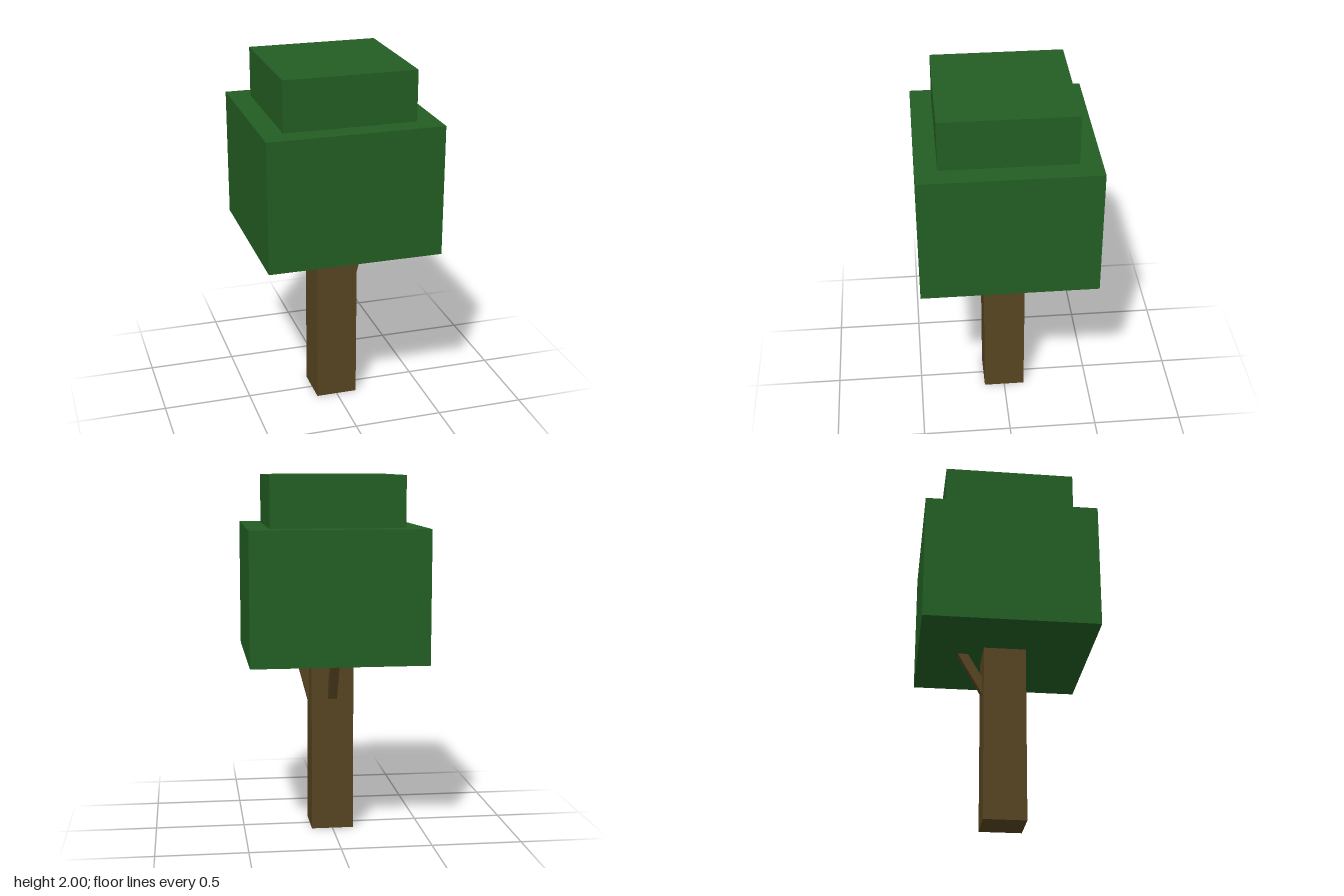
import * as THREE from 'three';

export function createModel() {
  const tree = new THREE.Group();
  tree.name = 'tree';
  const bark = new THREE.MeshStandardMaterial({ name: 'bark brown', color: 0x574522 });
  const leaves = new THREE.MeshStandardMaterial({ name: 'leaf green', color: 0x235e23 });

  // Square block standing between two heights
  function block(name, width, y0, y1, material) {
    const mesh = new THREE.Mesh(new THREE.BoxGeometry(width, y1 - y0, width), material);
    mesh.name = name;
    mesh.position.y = (y0 + y1) / 2;
    tree.add(mesh);
  }

  // Square bar running from one point to another
  function branch(name, width, from, to) {
    const a = new THREE.Vector3(...from);
    const b = new THREE.Vector3(...to);
    const mesh = new THREE.Mesh(new THREE.BoxGeometry(width, a.distanceTo(b), width), bark);
    mesh.name = name;
    mesh.position.copy(a).add(b).divideScalar(2);
    mesh.quaternion.setFromUnitVectors(new THREE.Vector3(0, 1, 0), b.sub(a).normalize());
    tree.add(mesh);
  }

  block('trunk', 0.236, 0, 1.0, bark);
  block('lowerCanopy', 0.966, 0.993, 1.72, leaves);
  block('upperCanopy', 0.73, 1.72, 2, leaves);

  // Branches start inside the trunk and end inside the canopy
  branch('leftBranch', 0.06, [0.077, 0.66, 0.042], [0.195, 1.1, 0.042]);
  branch('backBranch', 0.05, [0, 0.72, -0.071], [0, 1.1, -0.29]);

  return tree;
}
